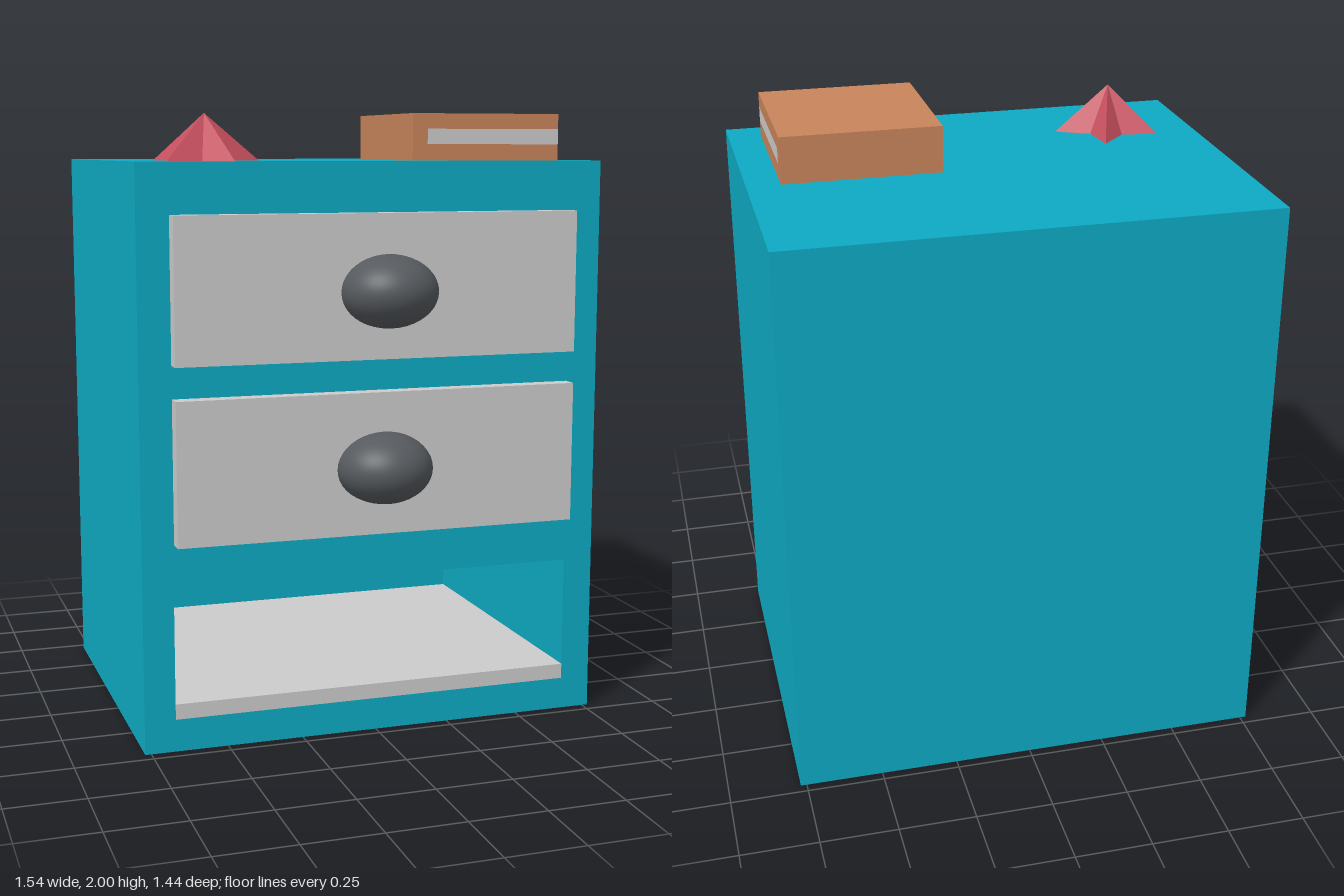
import * as THREE from 'three';

const mat = (color, extra = {}) => new THREE.MeshStandardMaterial({ color, ...extra });
const teal = mat(0x0eaac3);
const grey = mat(0xcccccc);
const dark = mat(0x565a5e);
const brown = mat(0xc8845a);
const red = mat(0xc8505f, { flatShading: true });

// Box given by its lower and upper bounds on each axis
function block(name, material, [x0, x1], [y0, y1], [z0, z1]) {
  const mesh = new THREE.Mesh(new THREE.BoxGeometry(x1 - x0, y1 - y0, z1 - z0), material);
  mesh.position.set((x0 + x1) / 2, (y0 + y1) / 2, (z0 + z1) / 2);
  mesh.name = name;
  return mesh;
}

function rectangle(path, x0, x1, y0, y1) {
  return path.moveTo(x0, y0).lineTo(x1, y0).lineTo(x1, y1).lineTo(x0, y1).closePath();
}

// Cabinet: a frame with the open bottom compartment, closed by a back panel
function makeCabinet() {
  const cabinet = new THREE.Group();
  cabinet.name = 'cabinet';
  const outline = rectangle(new THREE.Shape(), -0.77, 0.77, 0, 1.85);
  outline.holes.push(rectangle(new THREE.Path(), -0.67, 0.67, 0.105, 0.52));
  const frame = new THREE.Mesh(
    new THREE.ExtrudeGeometry(outline, { depth: 1.08, bevelEnabled: false }), teal);
  frame.position.z = -0.62;
  frame.name = 'cabinetFrame';
  cabinet.add(frame,
    block('backPanel', teal, [-0.77, 0.77], [0, 1.85], [-0.72, -0.62]),
    block('compartmentFloor', grey, [-0.67, 0.67], [0.105, 0.155], [-0.62, 0.46]));
  return cabinet;
}

// Half-ellipsoid knob with a flat back
function makeKnob(y, z) {
  const knob = new THREE.Group();
  knob.name = 'drawerKnob';
  const dome = new THREE.Mesh(
    new THREE.SphereGeometry(1, 40, 20, 0, Math.PI * 2, 0, Math.PI / 2).rotateX(Math.PI / 2), dark);
  dome.name = 'knobDome';
  const back = new THREE.Mesh(new THREE.CircleGeometry(1, 40).rotateY(Math.PI), dark);
  back.name = 'knobBack';
  knob.add(dome, back);
  knob.scale.set(0.155, 0.115, 0.155);
  knob.position.set(0, y, z);
  return knob;
}

// Book: two covers, pages showing on two sides, solid strips on the others
function makeBook() {
  const book = new THREE.Group();
  book.name = 'book';
  const x = [0.153, 0.663], z = [-0.157, 0.36], middle = [1.902, 1.951];
  book.add(
    block('bottomCover', brown, x, [1.85, middle[0]], z),
    block('topCover', brown, x, [middle[1], 2], z),
    block('sideSpine', brown, [x[0], 0.204], middle, z),
    block('backSpine', brown, [0.204, x[1]], middle, [z[0], -0.106]),
    block('pages', grey, [0.204, x[1]], middle, [-0.106, z[1]]));
  return book;
}

// Star: a ten-sided cone whose alternate base corners are pulled inwards
function makeStar() {
  const geometry = new THREE.ConeGeometry(0.18, 0.15, 10, 1, false, Math.PI / 2);
  const p = geometry.attributes.position;
  for (let i = 0; i < p.count; i++) {
    const corner = Math.round(Math.atan2(p.getZ(i), p.getX(i)) / (Math.PI / 5));
    const pull = corner % 2 === 0 ? 1 : 0.5;
    p.setXYZ(i, p.getX(i) * pull, p.getY(i), p.getZ(i) * pull);
  }
  geometry.computeVertexNormals();
  const star = new THREE.Mesh(geometry, red);
  star.position.set(-0.487, 1.925, 0.177);
  star.name = 'starOrnament';
  return star;
}

export function createModel() {
  const model = new THREE.Group();
  model.name = 'bedsideCabinet';
  model.add(makeCabinet());

  // Drawers, each with its knob
  for (const [y, knobZ] of [[1.462, 0.565], [0.9, 0.528]]) {
    model.add(
      block('drawerFront', grey, [-0.667, 0.663], [y - 0.229, y + 0.229], [0.46, 0.514]),
      makeKnob(y - 0.01, knobZ));
  }

  model.add(makeBook(), makeStar());
  return model;
}
